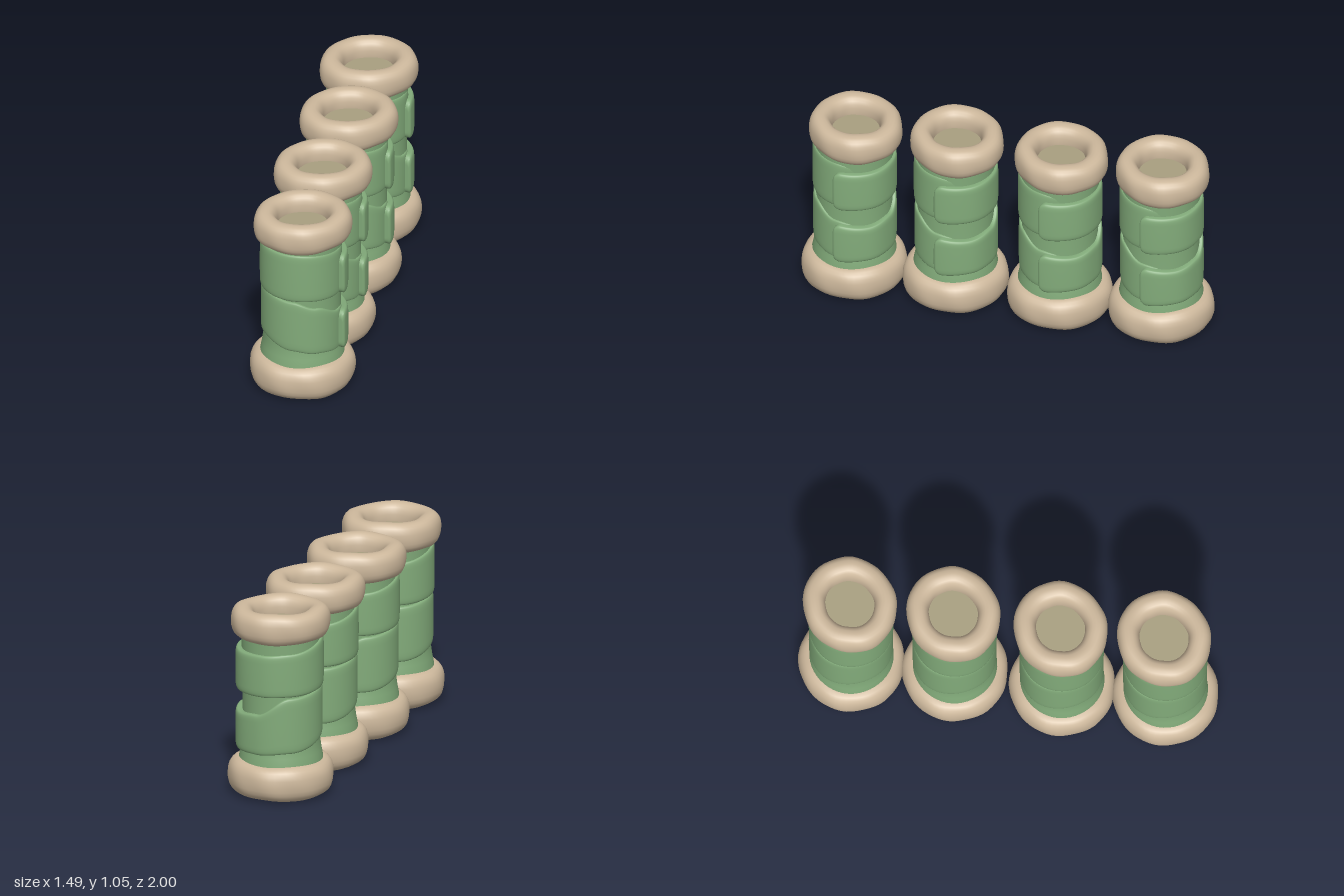
import * as THREE from 'three';
import { mergeVertices } from 'three/addons/utils/BufferGeometryUtils.js';

const mat = (name, color) => {
  const m = new THREE.MeshStandardMaterial({ color });
  m.name = name;
  return m;
};

// Merge the lathe seam and give smooth normals
function smooth(geo) {
  geo.deleteAttribute('uv');
  geo.deleteAttribute('normal');
  const g = mergeVertices(geo, 1e-4);
  g.computeVertexNormals();
  return g;
}

// Soft, slightly lumpy padded ring
function ringGeometry(inner, outer, y0, y1, phase) {
  const pts = [];
  const cr = (inner + outer) / 2, hr = (outer - inner) / 2;
  const cy = (y0 + y1) / 2, hy = (y1 - y0) / 2;
  for (let i = 0; i <= 24; i++) {
    const a = (i / 24) * Math.PI * 2, c = Math.cos(a), s = Math.sin(a);
    pts.push(new THREE.Vector2(
      cr + hr * Math.sign(c) * Math.abs(c) ** 0.85,
      cy + hy * Math.sign(s) * Math.abs(s) ** 0.85));
  }
  const geo = new THREE.LatheGeometry(pts, 56);
  const p = geo.attributes.position;
  for (let i = 0; i < p.count; i++) {
    const x = p.getX(i), y = p.getY(i), z = p.getZ(i);
    const a = Math.atan2(x, z);
    const k = 1 + 0.008 * Math.sin(5 * a + phase) + 0.006 * Math.sin(9 * a + 20 * y + phase);
    const lift = 0.003 * Math.sin(4 * a + phase) * (y - cy) / hy;
    p.setXYZ(i, x * k, y + lift, z * k);
  }
  return smooth(geo);
}

// Strap wound round the body; keys are [degrees, bottom, top, outer radius]
function strapGeometry(keys) {
  const K = 28, N = 110, inner = 0.185;
  const start = keys[0][0], end = keys[keys.length - 1][0];
  const pos = [], idx = [];
  const sample = (deg) => {
    let i = 0;
    while (i < keys.length - 2 && deg > keys[i + 1][0]) i++;
    const a = keys[i], b = keys[i + 1];
    const u = THREE.MathUtils.smoothstep(deg, a[0], b[0]);
    return [1, 2, 3].map((j) => a[j] + (b[j] - a[j]) * u);
  };
  const section = (deg, inset, shrink) => {
    const [lo, hi, R] = sample(deg);
    const outer = R - shrink, th = THREE.MathUtils.degToRad(deg);
    const cr = (inner + outer) / 2, hr = (outer - inner) / 2;
    const cy = (lo + hi) / 2, hy = (hi - lo) / 2 - inset;
    for (let k = 0; k < K; k++) {
      const a = (k / K) * Math.PI * 2, c = Math.cos(a), s = Math.sin(a);
      const r = cr + hr * Math.sign(c) * Math.abs(c) ** 0.4;
      const y = cy + hy * Math.sign(s) * Math.abs(s) ** 0.3;
      pos.push(r * Math.sin(th), y, r * Math.cos(th));
    }
  };
  // rounded tab corners at the visible end
  const corner = 0.045, steps = [];
  for (let i = 0; i <= 8; i++) steps.push(start + 11 * (i / 8) ** 2);
  for (let i = 1; i <= N; i++) steps.push(start + 11 + (end - start - 11) * i / N);
  section(start, 0.09, 0.06);
  section(start, 0.05, 0.014);
  for (const d of steps) {
    const t = Math.min(1, (d - start) / 11);
    section(d, corner * (1 - Math.sqrt(1 - (1 - t) ** 2)), 0.008 * Math.max(0, 1 - t * 4));
  }
  section(end, 0.05, 0.02);
  const rows = pos.length / 3 / K;
  for (let i = 0; i < rows - 1; i++) {
    for (let k = 0; k < K; k++) {
      const a = i * K + k, d = i * K + (k + 1) % K;
      idx.push(a, a + K, d, d + K, d, a + K);
    }
  }
  // end caps
  for (let k = 1; k < K - 1; k++) {
    const e = (rows - 1) * K;
    idx.push(0, k, k + 1, e, e + k + 1, e + k);
  }
  const g = new THREE.BufferGeometry();
  g.setAttribute('position', new THREE.Float32BufferAttribute(pos, 3));
  g.setIndex(idx);
  g.computeVertexNormals();
  return g;
}

export function createModel() {
  const model = new THREE.Group();
  model.name = 'rolledColumns';
  const green = mat('green cloth', 0x82ab7a);
  const tan = mat('tan padding', 0xcdb89c);
  const khaki = mat('khaki lining', 0xa89f80);
  green.side = THREE.DoubleSide;

  const body = smooth(new THREE.LatheGeometry([
    [0.232, 0.12], [0.228, 0.19], [0.218, 0.24], [0.21, 0.3], [0.208, 0.45],
    [0.207, 0.59], [0.211, 0.65], [0.212, 0.8], [0.216, 0.93],
  ].map(([r, y]) => new THREE.Vector2(r, y)), 48));

  const upper = strapGeometry([
    [42, 0.58, 0.818, 0.25], [90, 0.583, 0.815, 0.245], [140, 0.585, 0.82, 0.233],
    [180, 0.59, 0.83, 0.226], [270, 0.605, 0.885, 0.23], [330, 0.6, 0.885, 0.226],
    [400, 0.59, 0.865, 0.222], [450, 0.6, 0.84, 0.208],
  ]);
  const lower = strapGeometry([
    [42, 0.24, 0.478, 0.25], [90, 0.25, 0.465, 0.245], [130, 0.255, 0.48, 0.233],
    [180, 0.27, 0.58, 0.226], [270, 0.33, 0.612, 0.223], [325, 0.29, 0.59, 0.222],
    [360, 0.27, 0.55, 0.222], [402, 0.25, 0.49, 0.22], [450, 0.26, 0.46, 0.205],
  ]);
  const bottomRing = ringGeometry(0.135, 0.285, 0.005, 0.198, 1);
  const topRing = ringGeometry(0.14, 0.268, 0.882, 1.05, 3);
  const disc = new THREE.CircleGeometry(0.18, 40);

  const add = (group, name, geo, material) => {
    const m = new THREE.Mesh(geo, material);
    m.name = name;
    group.add(m);
    return m;
  };

  // Four identical columns in a diagonal row
  [[-0.46, 0.715], [-0.165, 0.24], [0.165, -0.24], [0.46, -0.715]].forEach(([x, z], i) => {
    const column = new THREE.Group();
    column.name = `column${i + 1}`;
    column.position.set(x, 0, z);
    add(column, 'body', body, green);
    add(column, 'upperStrap', upper, green);
    add(column, 'lowerStrap', lower, green);
    add(column, 'bottomRing', bottomRing, tan);
    const top = add(column, 'topRing', topRing, tan);
    top.scale.z = 0.93;
    top.position.set(0.005, 0, -0.008);
    const lid = add(column, 'topLining', disc, khaki);
    lid.rotation.x = -Math.PI / 2;
    lid.position.y = 0.955;
    const base = add(column, 'bottomLining', disc, khaki);
    base.rotation.x = Math.PI / 2;
    base.position.y = 0.09;
    model.add(column);
  });
  return model;
}
